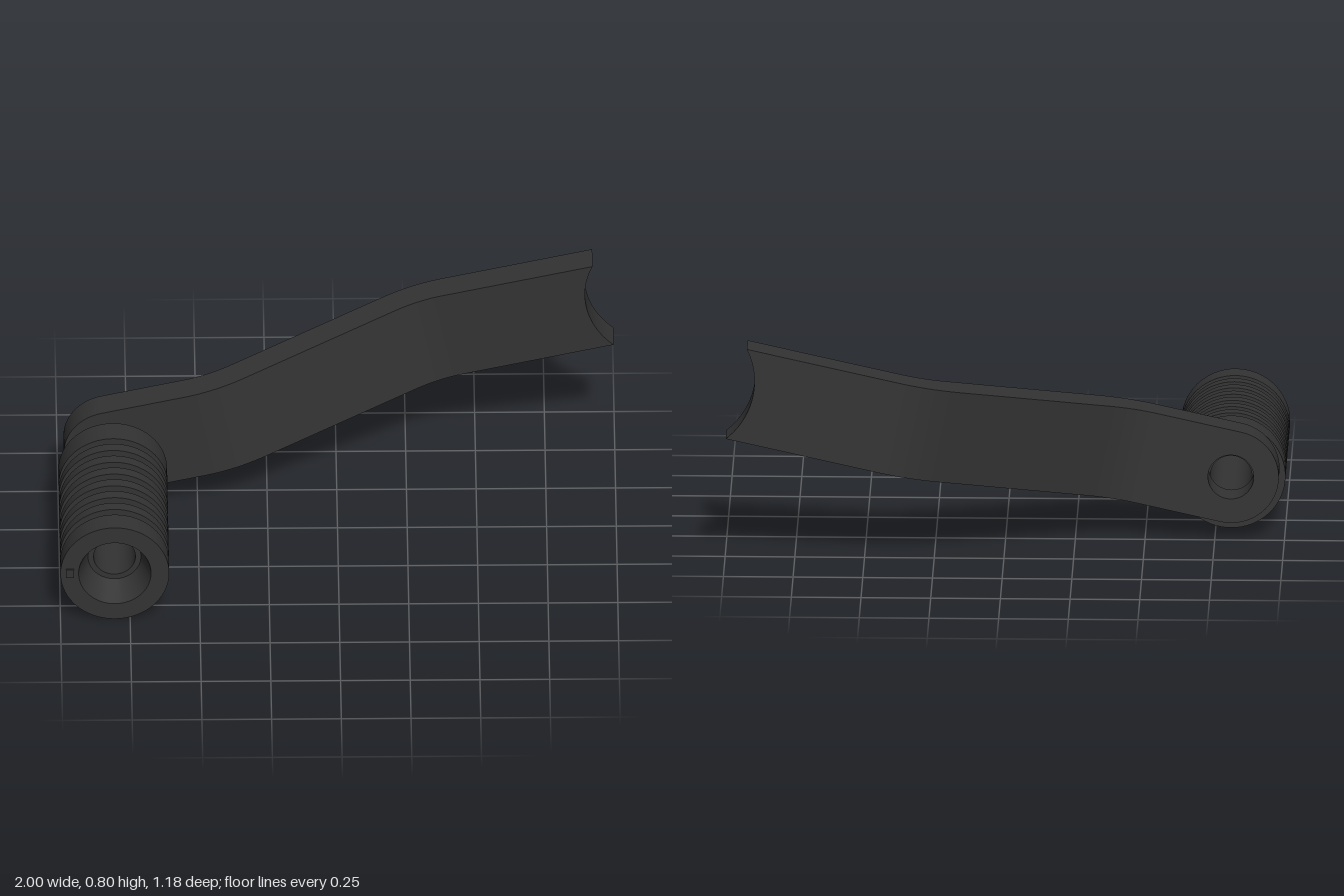
import * as THREE from 'three';
import { mergeGeometries, toCreasedNormals } from 'three/addons/utils/BufferGeometryUtils.js';

const material = new THREE.MeshStandardMaterial({ color: 0x333333 });
const HALF = 0.172;      // half width of the arm
const THICK = 0.114;     // thickness of the arm
const LENGTH = 1.81;     // eye centre to tip corners
const BENDS = [0.405, 1.155];
const BLEND = 0.1, SLOPE = 0.446;

// Offset and slope of a rounded corner at t = 0
function corner(t) {
  if (t < -BLEND) return [0, 0];
  if (t > BLEND) return [SLOPE * t, SLOPE];
  return [SLOPE * (t + BLEND) ** 2 / (4 * BLEND), SLOPE * (t + BLEND) / (2 * BLEND)];
}

// Extrude a flat piece and drop its walls at the seams to its neighbours
function piece(shape, seams) {
  const geo = new THREE.ExtrudeGeometry(shape, { depth: THICK, bevelEnabled: false, curveSegments: 40 });
  geo.translate(0, 0, -THICK / 2);
  const p = geo.attributes.position, kept = [];
  for (let i = 0; i < p.count; i += 3) {
    const onSeam = seams.some(s => [0, 1, 2].every(k => Math.abs(p.getX(i + k) - s) < 1e-5));
    if (onSeam) continue;
    for (let k = 0; k < 3; k++) kept.push(p.getX(i + k), p.getY(i + k), p.getZ(i + k));
  }
  const out = new THREE.BufferGeometry();
  out.setAttribute('position', new THREE.Float32BufferAttribute(kept, 3));
  return out;
}

function armGeometry() {
  // Stations across the two bends
  const stations = [];
  for (const b of BENDS) for (let i = 0; i <= 10; i++) stations.push(b - BLEND + 2 * BLEND * i / 10);
  const first = stations[0], last = stations[stations.length - 1];

  // Rounded eye with its bolt hole
  const eye = new THREE.Shape();
  eye.moveTo(first, -HALF);
  eye.lineTo(first, HALF);
  eye.lineTo(0, HALF);
  eye.absarc(0, 0, HALF, Math.PI / 2, Math.PI * 1.5, false);
  eye.holes.push(new THREE.Path().absarc(0, 0, 0.082, 0, Math.PI * 2, true));
  const parts = [piece(eye, [first])];

  // Bent middle
  for (let i = 0; i + 1 < stations.length; i++) {
    const a = stations[i], b = stations[i + 1];
    const strip = new THREE.Shape([[a, -HALF], [b, -HALF], [b, HALF], [a, HALF]].map(q => new THREE.Vector2(...q)));
    parts.push(piece(strip, [a, b]));
  }

  // Tip with a concave end
  const radius = 0.277, spread = Math.asin(HALF / radius);
  const tip = new THREE.Shape();
  tip.moveTo(last, -HALF);
  tip.lineTo(LENGTH, -HALF);
  tip.absarc(LENGTH + radius * Math.cos(spread), 0, radius, Math.PI + spread, Math.PI - spread, true);
  tip.lineTo(last, HALF);
  parts.push(piece(tip, [last]));

  // Bend the flat arm along its path
  const geo = mergeGeometries(parts), p = geo.attributes.position;
  for (let i = 0; i < p.count; i++) {
    const u = p.getX(i), w = p.getZ(i);
    const [z1, d1] = corner(u - BENDS[0]), [z2, d2] = corner(u - BENDS[1]);
    const d = d1 - d2, n = Math.hypot(1, d);
    p.setX(i, u + w * d / n);
    p.setZ(i, z2 - z1 + w / n);
  }
  return toCreasedNormals(geo, Math.PI / 6);
}

function gripGeometry() {
  const R = 0.195, GROOVE = 0.155, BORE = 0.075, back = -0.098, front = 0.587;
  const pts = [[BORE, back], [R, back]];
  // Seven grooves separated by six ribs
  for (let i = 0; i < 7; i++) {
    const z = 0.003 + i * 0.0772;
    pts.push([R, z], [GROOVE, z], [GROOVE, z + 0.034], [R, z + 0.034]);
  }
  // Front face, tapered mouth, shoulder and bore
  pts.push([R, front], [0.13, front], [0.095, front - 0.11], [BORE, front - 0.11], [BORE, back]);
  const geo = new THREE.LatheGeometry(pts.map(q => new THREE.Vector2(...q)), 64);
  geo.rotateX(Math.PI / 2);
  return toCreasedNormals(geo, Math.PI / 6);
}

export function createModel() {
  const model = new THREE.Group();
  model.name = 'footLever';

  const arm = new THREE.Mesh(armGeometry(), material);
  arm.name = 'arm';
  arm.position.set(-0.808, 0.237, -0.197);
  arm.rotation.z = THREE.MathUtils.degToRad(12.7);
  model.add(arm);

  const grip = new THREE.Mesh(gripGeometry(), material);
  grip.name = 'ribbedGrip';
  grip.position.set(-0.805, 0.195, 0);
  model.add(grip);

  // Small raised nub on the grip's front face
  const nub = new THREE.Mesh(new THREE.BoxGeometry(0.03, 0.035, 0.01), material);
  nub.name = 'gripNub';
  nub.position.set(-0.966, 0.197, 0.587);
  model.add(nub);

  return model;
}
